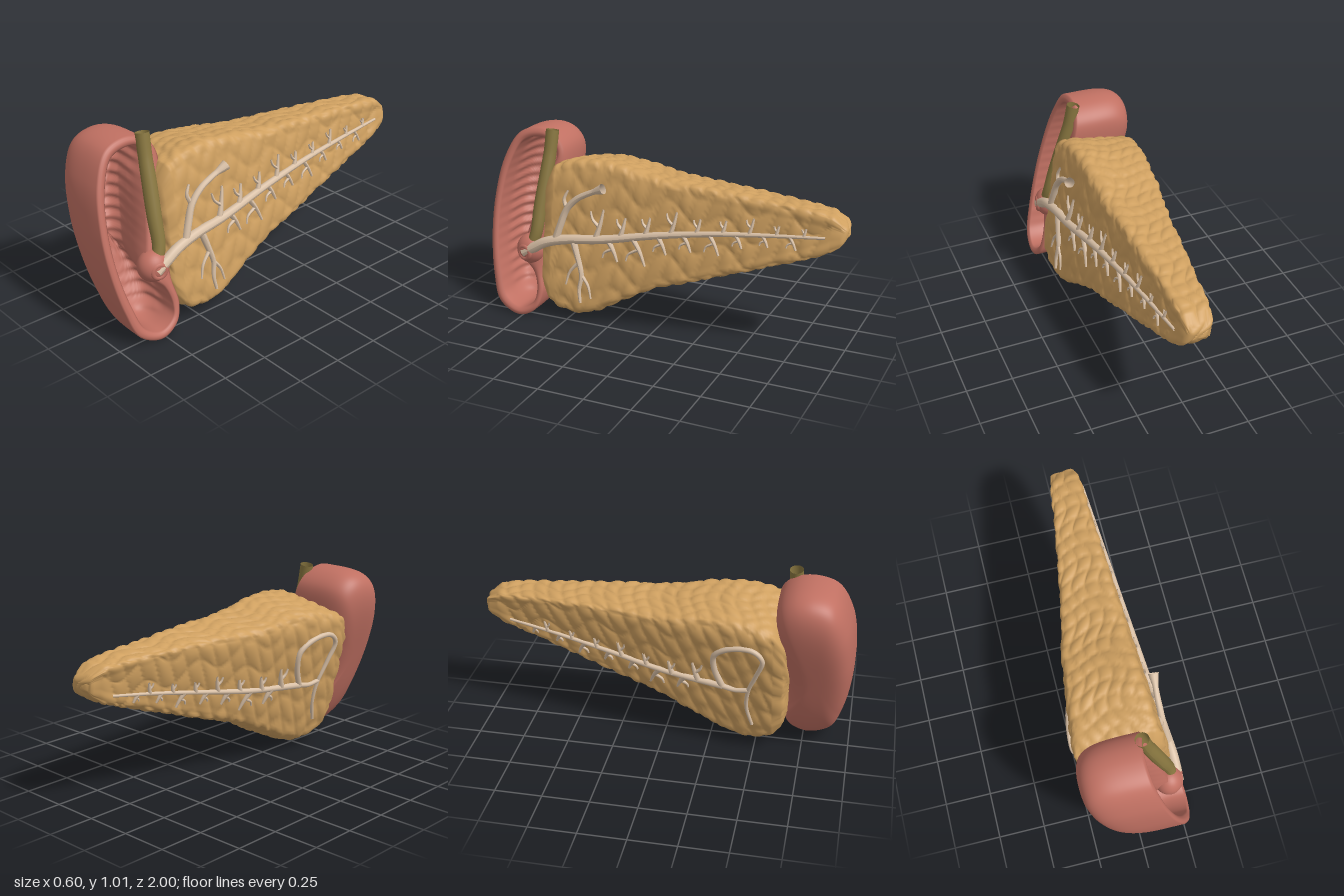
import * as THREE from 'three';
import { mergeVertices } from 'three/addons/utils/BufferGeometryUtils.js';

const V = (x, y, z) => new THREE.Vector3(x, y, z);
const flat = (name, hex) => {
  const m = new THREE.MeshStandardMaterial({ color: hex });
  m.name = name;
  return m;
};

// Linear lookup in a short table of [key, value], keys ascending
function lookup(table, k) {
  if (k <= table[0][0]) return table[0][1];
  for (let i = 1; i < table.length; i++) {
    const [a, va] = table[i - 1], [b, vb] = table[i];
    if (k <= b) return va + (vb - va) * (k - a) / (b - a);
  }
  return table[table.length - 1][1];
}

// Skin closed rings of equal length into a smooth solid with outward faces
function loft(rings) {
  const n = rings[0].length, pos = [], idx = [];
  rings.forEach(r => r.forEach(p => pos.push(p.x, p.y, p.z)));
  for (let i = 0; i < rings.length - 1; i++) for (let j = 0; j < n; j++) {
    const k = (j + 1) % n, a = i * n + j, b = i * n + k, c = a + n, d = b + n;
    idx.push(a, b, d, a, d, c);
  }
  const at = i => V(pos[3 * i], pos[3 * i + 1], pos[3 * i + 2]);
  let volume = 0;
  for (let i = 0; i < idx.length; i += 3) volume += at(idx[i]).dot(at(idx[i + 1]).cross(at(idx[i + 2])));
  if (volume < 0) idx.reverse();
  let g = new THREE.BufferGeometry();
  g.setAttribute('position', new THREE.Float32BufferAttribute(pos, 3));
  g.setIndex(idx);
  g = mergeVertices(g, 1e-5);
  g.computeVertexNormals();
  return g;
}

// Push vertices along their normals by a rule
function displace(g, rule) {
  const p = g.attributes.position, q = g.attributes.normal;
  for (let i = 0; i < p.count; i++) {
    const d = rule(p.getX(i), p.getY(i), p.getZ(i), q.getX(i));
    p.setXYZ(i, p.getX(i) + q.getX(i) * d, p.getY(i) + q.getY(i) * d, p.getZ(i) + q.getZ(i) * d);
  }
  g.computeVertexNormals();
  return g;
}

// Tube whose radius follows radius(t)
function taperTube(points, radius, segs = 24, sides = 12) {
  const path = new THREE.CatmullRomCurve3(points);
  const g = new THREE.TubeGeometry(path, segs, 1, sides, false), p = g.attributes.position;
  for (let i = 0; i <= segs; i++) {
    const c = path.getPointAt(i / segs), r = radius(i / segs);
    for (let j = 0; j <= sides; j++) {
      const k = i * (sides + 1) + j;
      const v = V(p.getX(k), p.getY(k), p.getZ(k)).sub(c).multiplyScalar(r).add(c);
      p.setXYZ(k, v.x, v.y, v.z);
    }
  }
  g.computeVertexNormals();
  return g;
}

// Gland outline along z: top and bottom height, far-side x, and how much the top drops towards the far side
const TOP = [[-1, .715], [-.96, .745], [-.9, .772], [-.8, .785], [-.4, .82], [0, .85], [.2, .89], [.35, .91], [.5, .9], [.6, .86], [.67, .79]];
const BOTTOM = [[-1, .63], [-.96, .6], [-.9, .565], [-.8, .525], [-.6, .455], [-.4, .385], [-.2, .315], [0, .25], [.2, .145], [.3, .085], [.43, .042], [.55, .065], [.67, .14]];
const FAR = [[-1, -.015], [-.77, -.055], [-.5, -.105], [-.2, -.165], [.08, -.235], [.4, -.29], [.55, -.305], [.67, -.295]];
const DROP = [[-1, .01], [-.5, .03], [.1, .07], [.5, .1], [.67, .08]];
const nearFace = (y, z) => .273 - .15 * y + .05 * z;
const farFace = (y, z) => lookup(FAR, z) + .23 * (lookup(TOP, z) - .1 - y);

function glandRing(z, s) {
  const top = lookup(TOP, z), b = lookup(BOTTOM, z), ring = [], n = 160;
  for (let j = 0; j < n; j++) {
    const a = j / n * Math.PI * 2, c = Math.cos(a), d = Math.sin(a);
    const r = s * Math.pow(Math.abs(c) ** 8 + Math.abs(d) ** 8, -1 / 8);
    const w = (1 + r * c) / 2, t = top - lookup(DROP, z) * (1 - w);
    const y = (t + b) / 2 + (t - b) / 2 * r * d;
    const left = farFace(y, z);
    ring.push(V(left + (nearFace(y, z) - left) * w, y, z));
  }
  return ring;
}

function glandGeometry() {
  const rings = [], cap = q => .07 * (1 - Math.sqrt(1 - q ** 4));
  for (let k = 0; k <= 12; k++) rings.push(glandRing(-1 + cap(k / 12), k / 12));
  for (let k = 1; k < 130; k++) rings.push(glandRing(-.93 + 1.53 * k / 130, 1));
  for (let k = 12; k >= 0; k--) rings.push(glandRing(.67 - cap(k / 12), k / 12));
  // puffy lobules outside; leaning grooves on the two cut faces, sunk slightly inside their edges
  return displace(loft(rings), (x, y, z, nx) => {
    const cut = Math.abs(nx) > .8;
    const u = cut ? z * 36 + y * 14 : z * 40 + 1.3 * Math.sin(y * 17 + x * 13);
    const v = cut ? y * 22 - z * 4 + Math.sin(z * 21) : (y * 34 + x * 38) + 1.4 * Math.sin(z * 19);
    const edge = Math.min(lookup(TOP, z) - y, y - lookup(BOTTOM, z), z + 1, .67 - z);
    const sunk = cut ? .007 * THREE.MathUtils.smoothstep(edge, .03, .07) : 0;
    return .013 * Math.sqrt(Math.abs(Math.sin(u) * Math.sin(v))) - .007 - sunk;
  });
}

// Bowel outlines on the cut plane as [z, y], outer rim and hollow
const OUTER = [[.77, 1.003], [.88, .965], [.96, .82], [.995, .6], [.99, .4], [.955, .2], [.9, .06], [.77, .003],
  [.67, .05], [.635, .14], [.65, .25], [.65, .4], [.62, .6], [.585, .8], [.6, .92], [.67, .985]];
const INNER = [[.76, .955], [.85, .925], [.915, .8], [.95, .6], [.945, .4], [.91, .22], [.86, .09], [.77, .045],
  [.69, .085], [.675, .15], [.7, .24], [.78, .33], [.75, .52], [.69, .75], [.635, .87], [.68, .94]];
const bowelPlane = y => .3 - .28 * y;

function bowelGeometry() {
  const n = 240, rings = [];
  const sample = list => {
    const c = new THREE.CatmullRomCurve3(list.map(([z, y]) => V(0, y, z)), true);
    return Array.from({ length: n }, (_, i) => c.getPoint(i / n));
  };
  const outer = sample(OUTER), inner = sample(INNER);
  const blend = w => inner.map((p, j) => p.clone().lerp(outer[j], w));
  const ring = (pts, s, depth, folds) => rings.push(pts.map(p => {
    const y = .5 + (p.y - .5) * s;
    const f = folds * Math.abs(Math.sin(y * 58)) ** 2;
    const z = .81 + (p.z - .81) * s * (1 - .09 * f);
    return V(bowelPlane(y) - depth * (.86 + .16 * y) + .014 * f, y, z);
  }));
  // outside wall
  for (let i = 0; i <= 28; i++) {
    const a = i / 28 * Math.PI / 2;
    ring(outer, Math.sin(a) ** .55, .387 * Math.max(0, Math.cos(a)) ** .47, 0);
  }
  // rounded lip
  for (let i = 1; i < 6; i++) ring(blend(1 - i / 6), 1, -.012 * Math.sin(i / 6 * Math.PI), 0);
  // folded hollow, widening behind the lip
  for (let i = 28; i >= 0; i--) {
    const a = i / 28 * Math.PI / 2, c = Math.max(0, Math.cos(a));
    ring(blend(.4 * Math.min(1, c * 1.6)), Math.sin(a) ** .55, .335 * c ** .47, Math.min(1, (28 - i) / 4));
  }
  return loft(rings);
}

export function createModel() {
  const model = new THREE.Group();
  model.name = 'organModel';
  const pink = flat('bowelPink', 0xc07062), tan = flat('glandTan', 0xcfa060);
  const cream = flat('ductCream', 0xd8bfa5), olive = flat('bileOlive', 0x897740);
  cream.side = olive.side = THREE.DoubleSide;
  const add = (name, geo, mat, parent = model) => {
    const m = new THREE.Mesh(geo, mat);
    m.name = name;
    parent.add(m);
    return m;
  };

  add('gland', glandGeometry(), tan);
  add('bowel', bowelGeometry(), pink);

  // Bulge where the ducts open into the bowel
  const papilla = add('papilla', new THREE.SphereGeometry(1, 32, 20), pink);
  papilla.scale.set(.078, .085, .085);
  papilla.position.set(.19, .365, .735);
  const lip = add('papillaLip', new THREE.TorusGeometry(.034, .014, 10, 24), pink);
  lip.position.set(.252, .36, .745);
  lip.rotation.y = Math.PI / 2 - .2;

  // Bile duct with an open flared top
  add('bileDuct', taperTube([V(.044, 1.01, .663), V(.067, .9, .668), V(.108, .76, .678), V(.157, .6, .692), V(.195, .47, .7), V(.21, .4, .72)],
    t => .031 + .005 * Math.max(0, 1 - t * 5) + .007 * Math.sin(t * Math.PI), 40, 20), olive);

  // Ducts lying on a cut face; points are [z, y, lift]
  const ducts = new THREE.Group();
  ducts.name = 'ducts';
  model.add(ducts);
  const onNear = ([z, y, lift = 0]) => V(nearFace(y, z) + lift, y, z);
  const onFar = ([z, y, lift = 0]) => V(farFace(y, z) - lift, y, z);
  const duct = (name, pts, r0, r1, segs = 14, sides = 8, place = onNear) =>
    add(name, taperTube(pts.map(place), t => r0 + (r1 - r0) * t, segs, sides), cream, ducts);

  const MAIN = [[-.9, .655], [-.6, .63], [-.3, .598], [0, .55], [.3, .49], [.5, .465], [.62, .435]];
  duct('mainDuct', [[.755, .355, -.016], [.69, .395, -.006], ...MAIN.slice().reverse()], .03, .007, 80, 14);

  // Upper duct ending in a small funnel
  add('upperDuct', taperTube([[.56, .46, 0], [.535, .54, .003], [.5, .63, .007], [.44, .695, .016], [.38, .73, .024], [.28, .775, .042]].map(onNear),
    t => .021 - .007 * t + .014 * Math.max(0, t - .86) / .14, 40, 12), cream, ducts);
  duct('upperDuctTwig', [[.5, .63], [.52, .68], [.5, .73]], .014, .006);

  // Lower duct with twigs
  duct('lowerDuct', [[.46, .47], [.425, .37], [.4, .28], [.41, .2], [.4, .13]], .02, .008, 24, 10);
  duct('lowerTwig', [[.405, .29], [.36, .23], [.34, .16]], .011, .005);
  duct('lowerTwig', [[.42, .35], [.47, .29], [.49, .22]], .011, .005);

  // Ducts on the far cut face: a trunk and a hooked loop
  const FAR_MAIN = [[-.86, .6], [-.6, .56], [-.27, .5], [0, .455], [.33, .42]];
  duct('farMainDuct', FAR_MAIN.slice().reverse(), .018, .007, 60, 12, onFar);
  duct('farLoopDuct', [[.33, .42], [.29, .53], [.29, .62], [.37, .68], [.49, .69], [.54, .64], [.51, .53], [.47, .42], [.46, .3], [.49, .18]], .017, .009, 70, 10, onFar);
  duct('farJoinDuct', [[.33, .42], [.4, .41], [.47, .42]], .015, .012, 14, 10, onFar);

  // Side branches, alternating up and down, each with a fork
  function branches(place, trunk, zStart, count, scale) {
    for (let i = 0; i < count; i++) {
      const z = zStart - i * .07, y = lookup(trunk, z), s = i % 2 ? -1 : 1;
      const len = (.15 - .006 * i) * (i % 3 ? .8 : 1.1) * scale, r = .018 - .0006 * i;
      const lean = s > 0 ? .25 : .55;
      duct('sideBranch', [[z, y], [z - len * lean * .6, y + s * len * .5], [z - len * lean, y + s * len]], r, .006, 14, 8, place);
      duct('branchTwig', [[z - len * lean * .5, y + s * len * .42], [z + len * .12, y + s * len * .65], [z + len * .2, y + s * len * .9]], r * .6, .005, 8, 6, place);
    }
  }
  branches(onNear, MAIN, .33, 17, 1);
  branches(onFar, FAR_MAIN, .2, 14, .7);
  return model;
}
